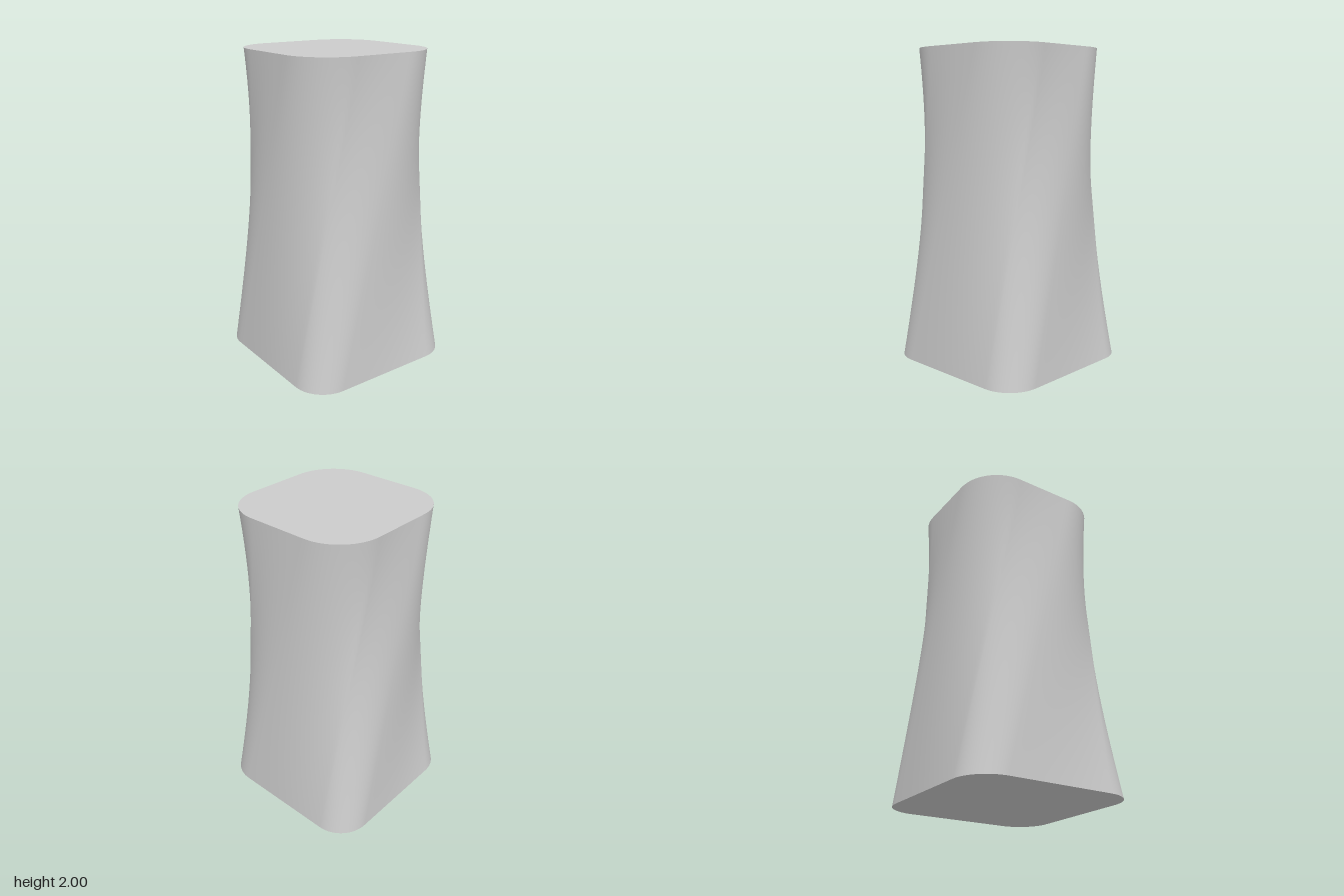
import * as THREE from 'three';

const STEPS = 20; // points per flat or corner
const ROWS = 60;

// Rounded square outline, anticlockwise seen from above, as alternating flats and corners
function outline(half, radius, shift) {
  const c = half - radius;
  const points = [];
  for (let s = 0; s < 8; s++) {
    const segment = s + shift;
    const turn = Math.floor(segment / 2) * Math.PI / 2;
    for (let i = 0; i < STEPS; i++) {
      const u = i / STEPS;
      const a = u * Math.PI / 2;
      const x = segment % 2 ? c + radius * Math.sin(a) : -c + 2 * c * u;
      const z = segment % 2 ? c + radius * Math.cos(a) : half;
      points.push(new THREE.Vector2(
        x * Math.cos(turn) + z * Math.sin(turn),
        z * Math.cos(turn) - x * Math.sin(turn)));
    }
  }
  return points;
}

// Straight rulings between the two outlines
function ruledSides(bottom, top, height) {
  const n = bottom.length;
  const positions = [];
  const indices = [];
  for (let r = 0; r <= ROWS; r++) {
    const t = r / ROWS;
    for (let i = 0; i < n; i++) {
      const p = bottom[i].clone().lerp(top[i], t);
      positions.push(p.x, t * height, p.y);
      if (r === ROWS) continue;
      const a = r * n + i;
      const b = r * n + (i + 1) % n;
      indices.push(a, b, a + n, b, b + n, a + n);
    }
  }
  const geometry = new THREE.BufferGeometry();
  geometry.setAttribute('position', new THREE.Float32BufferAttribute(positions, 3));
  geometry.setIndex(indices);
  geometry.computeVertexNormals();
  return geometry;
}

// Flat end face; facing is 1 for up, -1 for down
function cap(points, y, facing) {
  const shape = new THREE.Shape(points.map(p => new THREE.Vector2(p.x, -facing * p.y)));
  return new THREE.ShapeGeometry(shape).rotateX(-facing * Math.PI / 2).translate(0, y, 0);
}

export function createModel() {
  const group = new THREE.Group();
  group.name = 'twistedColumn';
  const material = new THREE.MeshStandardMaterial({ color: 0xcccccc });
  const add = (name, geometry) => {
    const mesh = new THREE.Mesh(geometry, material);
    mesh.name = name;
    group.add(mesh);
  };

  // The top outline starts one segment later, so flats run into corners
  const bottom = outline(0.555, 0.21, 0);
  const top = outline(0.48, 0.28, 1);
  add('twistedSides', ruledSides(bottom, top, 2));
  add('topFace', cap(top, 2, 1));
  add('bottomFace', cap(bottom, 0, -1));
  return group;
}
